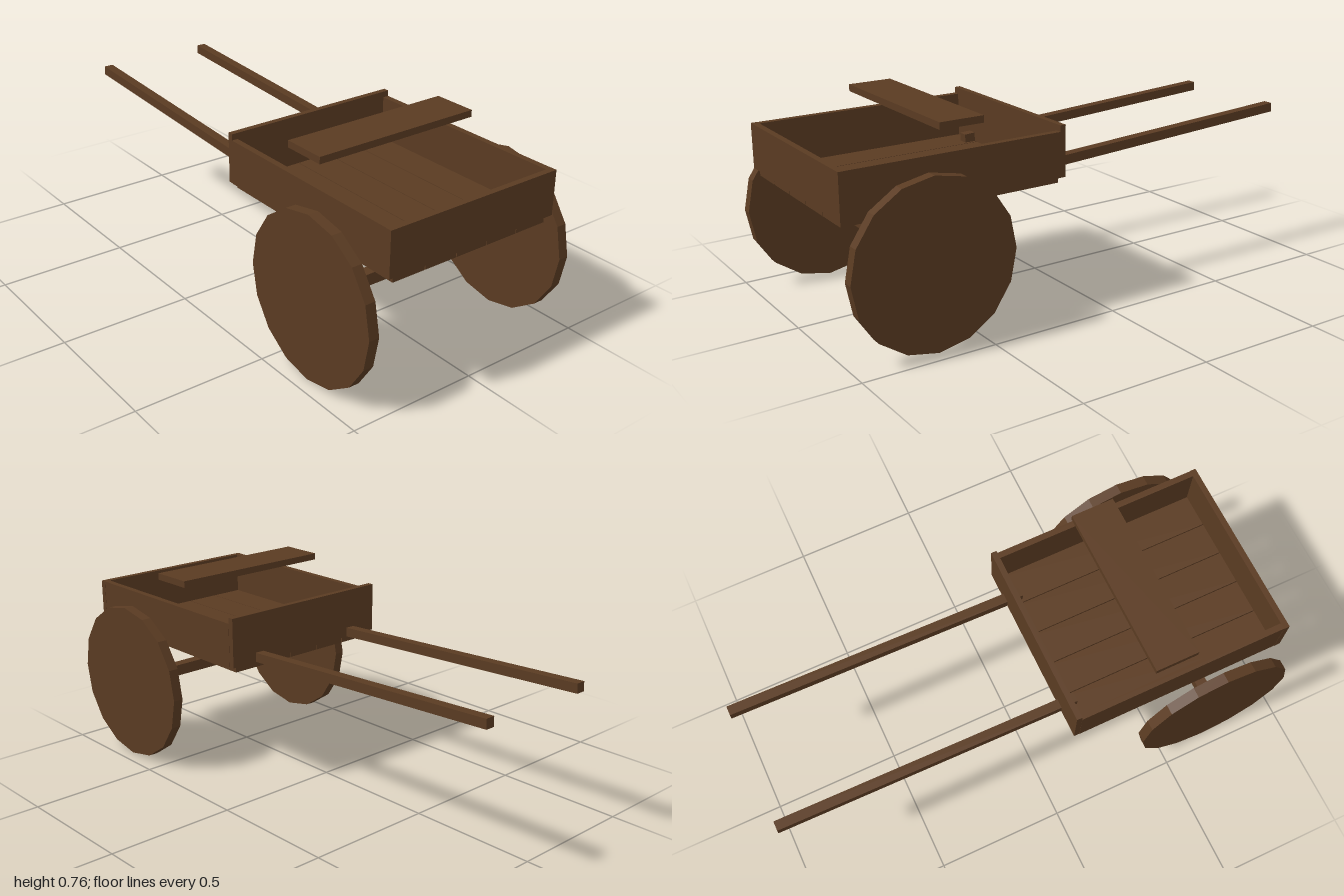
import * as THREE from 'three';

export function createModel() {
  const cart = new THREE.Group();
  cart.name = 'handCart';

  const wood = new THREE.MeshStandardMaterial({ color: 0x5a3b22, flatShading: true });
  wood.name = 'brownWood';

  // Box given by its lower and upper corners
  function board(name, [x0, y0, z0], [x1, y1, z1]) {
    const mesh = new THREE.Mesh(new THREE.BoxGeometry(x1 - x0, y1 - y0, z1 - z0), wood);
    mesh.position.set((x0 + x1) / 2, (y0 + y1) / 2, (z0 + z1) / 2);
    mesh.name = name;
    cart.add(mesh);
    return mesh;
  }

  // Floor: five planks with narrow gaps
  const pitch = 0.1357, half = 0.0663;
  for (let i = -2; i <= 2; i++) {
    board('floorPlank', [i * pitch - half, 0.467, 0.13], [i * pitch + half, 0.494, 0.972]);
  }

  // Tray walls; the back one stands a little taller
  board('frontWall', [-0.363, 0.492, 0.961], [0.363, 0.66, 0.984]);
  board('backWall', [-0.361, 0.492, 0.115], [0.361, 0.683, 0.137]);

  // Seat board above the tray
  board('seatBoard', [-0.338, 0.732, 0.435], [0.338, 0.758, 0.605]);

  // Axle
  board('axle', [-0.395, 0.288, 0.668], [0.395, 0.333, 0.712]);

  // Side walls, wheels and sloping handles, mirrored
  const wheelGeometry = new THREE.CylinderGeometry(0.31, 0.31, 0.04, 16).rotateZ(Math.PI / 2);
  const inner = new THREE.Vector3(0, 0.508, 0.18);
  const outer = new THREE.Vector3(0, 0.568, -0.999);
  const handleGeometry = new THREE.BoxGeometry(0.037, 0.036, inner.distanceTo(outer));
  for (const [side, s] of [['left', 1], ['right', -1]]) {
    const wall = board(side + 'SideWall', [0.338, 0.492, 0.137], [0.362, 0.66, 0.961]);
    wall.position.x *= s;

    const wheel = new THREE.Mesh(wheelGeometry, wood);
    wheel.name = side + 'Wheel';
    wheel.position.set(s * 0.429, 0.31, 0.69);
    cart.add(wheel);

    const handle = new THREE.Mesh(handleGeometry, wood);
    handle.name = side + 'Handle';
    handle.position.copy(inner).add(outer).multiplyScalar(0.5);
    handle.position.x = s * 0.235;
    handle.rotation.x = Math.atan2(outer.y - inner.y, inner.z - outer.z);
    cart.add(handle);
  }

  return cart;
}
